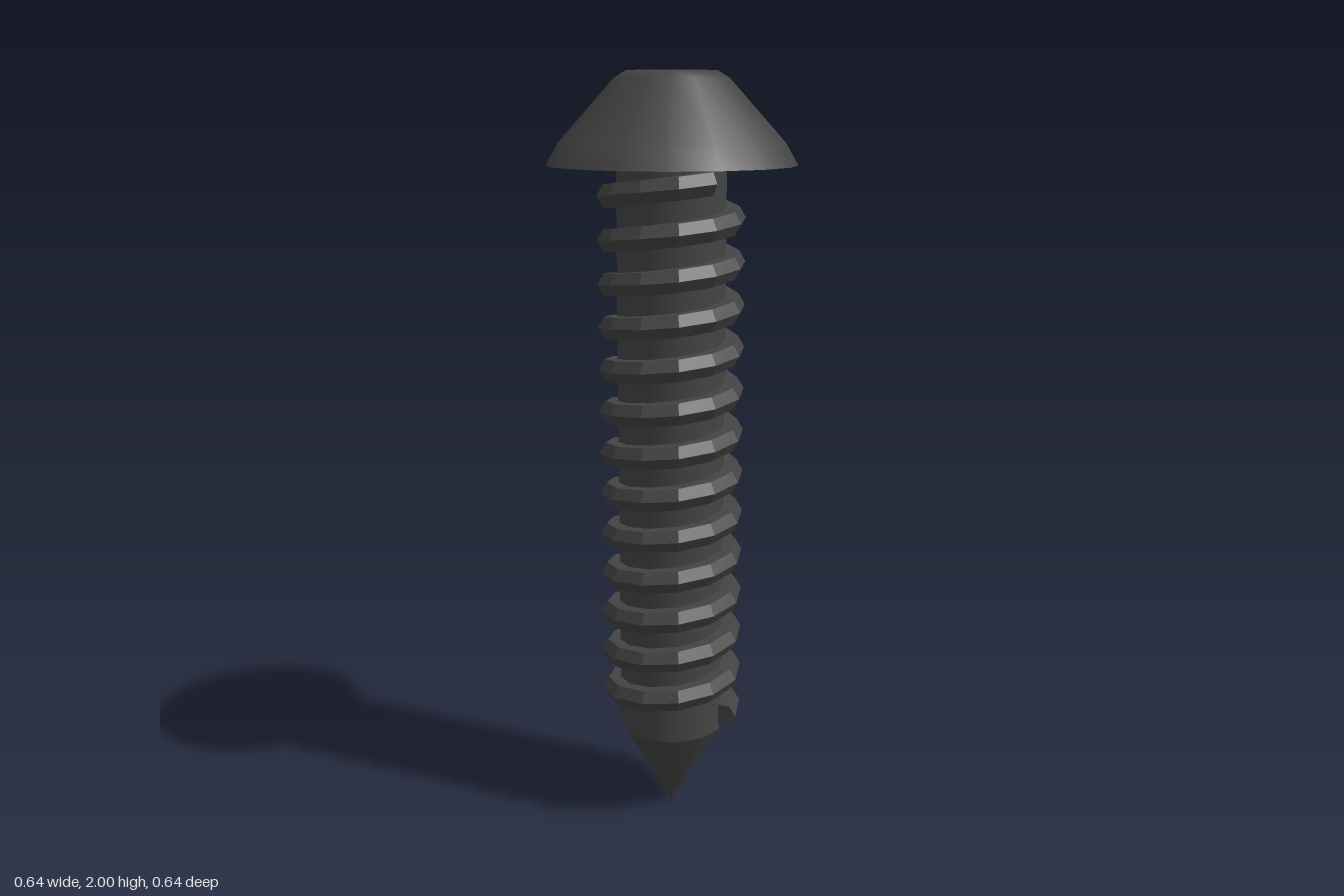
import * as THREE from 'three';

const SIDES = 12;           // shaft sides and thread steps per turn
const SHAFT_R = 0.141;
const SHOULDER = 0.245;     // where the point meets the shaft
const HEAD_Y = 1.77;        // underside of the head

// Helical ridge with a hexagonal section, capped at both ends
function threadGeometry({ radius, size, bottom, pitch, steps }) {
  const pos = [], index = [], n = 6;
  for (let i = 0; i <= steps; i++) {
    const t = (i / SIDES) * Math.PI * 2;
    const y = bottom + (pitch * i) / SIDES;
    for (let j = 0; j < n; j++) {
      const a = (j / n) * Math.PI * 2;
      const r = radius + size * Math.cos(a);
      pos.push(r * Math.cos(t), y + size * Math.sin(a), -r * Math.sin(t));
    }
  }
  for (let i = 0; i < steps; i++) {
    for (let j = 0; j < n; j++) {
      const k = (j + 1) % n;
      const a = i * n + j, b = a + n, c = (i + 1) * n + k, d = i * n + k;
      index.push(a, b, c, a, c, d);
    }
  }
  const end = steps * n;
  for (let j = 1; j < n - 1; j++) {
    index.push(0, j, j + 1);
    index.push(end, end + j + 1, end + j);
  }
  const g = new THREE.BufferGeometry();
  g.setAttribute('position', new THREE.Float32BufferAttribute(pos, 3));
  g.setIndex(index);
  const flat = g.toNonIndexed();
  flat.computeVertexNormals();
  return flat;
}

export function createModel() {
  const model = new THREE.Group();
  model.name = 'screw';
  const steel = new THREE.MeshStandardMaterial({ color: 0x444444 });
  steel.name = 'dark steel';

  const add = (name, geometry, y = 0) => {
    const mesh = new THREE.Mesh(geometry, steel);
    mesh.name = name;
    mesh.position.y = y;
    model.add(mesh);
    return mesh;
  };

  // Domed head
  const dome = [[0.319, HEAD_Y], [0.287, 1.825], [0.145, 1.982], [0.115, 2], [0, 2]];
  add('head', new THREE.LatheGeometry(dome.map(([x, y]) => new THREE.Vector2(x, y)), 16));

  // Flat underside of the head
  const underside = add('headUnderside', new THREE.CircleGeometry(0.319, 16), HEAD_Y);
  underside.rotation.x = Math.PI / 2;

  // Straight shaft
  const shaftH = HEAD_Y - SHOULDER;
  add('shaft', new THREE.CylinderGeometry(SHAFT_R, SHAFT_R, shaftH, SIDES, 1, true), SHOULDER + shaftH / 2);

  // Pointed end
  add('point', new THREE.CylinderGeometry(SHAFT_R, 0, SHOULDER, SIDES), SHOULDER / 2);

  // Thread, just short of thirteen turns
  add('thread', threadGeometry({
    radius: 0.158, size: 0.033, bottom: 0.29, pitch: 0.1116, steps: 13 * SIDES - 1,
  }));

  return model;
}
